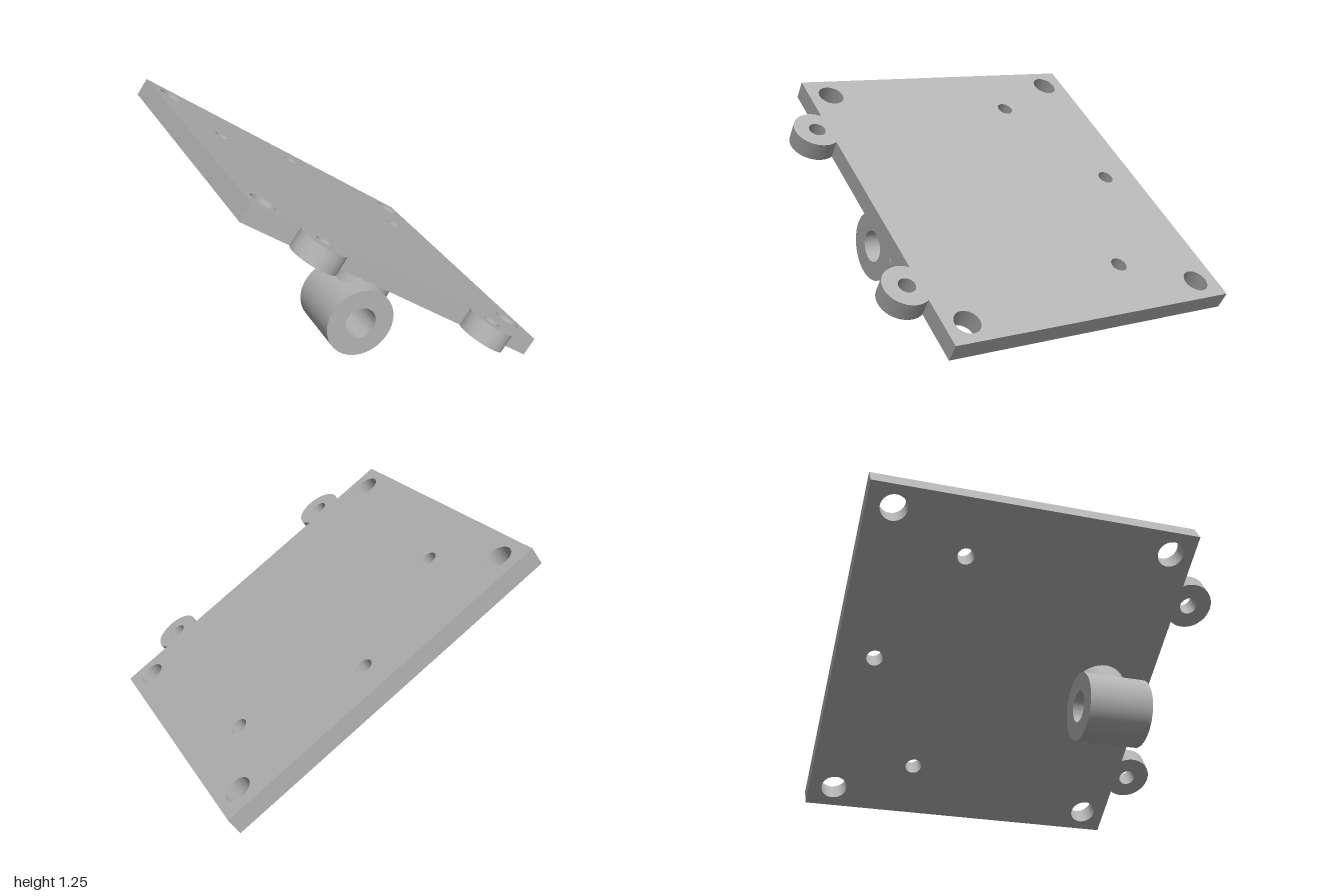
import * as THREE from 'three';
import { toCreasedNormals } from 'three/addons/utils/BufferGeometryUtils.js';

const TILT = 0.621;
const WIDTH = 1.994, THICK = 0.106;   // plate size
const BACK = -1, FRONT = 0.8;         // plate edges in z
const EAR = { u: 0.588, z: 0.869, r: 0.131 };
const PIVOT_DROP = 0.296;             // bore axis below the plate's mid-plane

function addHole(shape, x, y, r) {
  const hole = new THREE.Path();
  hole.absarc(x, y, r, 0, Math.PI * 2, true);
  shape.holes.push(hole);
}

function extrude(shape, depth) {
  const geo = new THREE.ExtrudeGeometry(shape, { depth, bevelEnabled: false, curveSegments: 48 });
  geo.translate(0, 0, -depth / 2);
  return toCreasedNormals(geo, 0.5);
}

export function createModel() {
  const grey = new THREE.MeshStandardMaterial({ color: 0xb2b2b2 });
  grey.name = 'plain grey';
  const model = new THREE.Group();
  model.name = 'tiltedMountingPlate';

  const add = (name, geo) => {
    const mesh = new THREE.Mesh(geo, grey);
    mesh.name = name;
    model.add(mesh);
    return mesh;
  };

  // Plate outline with two round ears on the front edge
  const half = WIDTH / 2;
  const a = Math.asin((EAR.z - FRONT) / EAR.r);
  const outline = new THREE.Shape();
  outline.moveTo(-half, BACK);
  outline.lineTo(half, BACK);
  outline.lineTo(half, FRONT);
  for (const s of [1, -1]) outline.absarc(s * EAR.u, EAR.z, EAR.r, -a, Math.PI + a, false);
  outline.lineTo(-half, FRONT);
  outline.closePath();

  // Corner holes, ear holes and the three small holes
  for (const s of [1, -1]) {
    addHole(outline, s * 0.871, -0.857, 0.072);
    addHole(outline, s * 0.871, 0.667, 0.072);
    addHole(outline, s * EAR.u, EAR.z, 0.047);
    addHole(outline, s * 0.67, -0.433, 0.046);
  }
  addHole(outline, 0, -0.788, 0.046);
  add('plate', extrude(outline, THICK).rotateX(Math.PI / 2));

  // Bored pivot barrel under the plate
  const ring = new THREE.Shape();
  ring.absarc(0, 0, 0.19, 0, Math.PI * 2, false);
  addHole(ring, 0, 0, 0.087);
  add('pivotBarrel', extrude(ring, 0.36)).position.set(0, -PIVOT_DROP, 0.51);

  // Neck from the barrel wall up into the plate
  const low = -PIVOT_DROP + 0.1, high = -0.03;
  add('pivotNeck', new THREE.CylinderGeometry(0.148, 0.148, high - low, 48))
    .position.set(0, (low + high) / 2, 0.51);

  // Tilt the whole bracket and stand its lowest edge on the ground
  model.rotation.z = -TILT;
  model.position.y = half * Math.sin(TILT) + (THICK / 2) * Math.cos(TILT);
  const root = new THREE.Group();
  root.name = 'bracket';
  root.add(model);
  return root;
}
